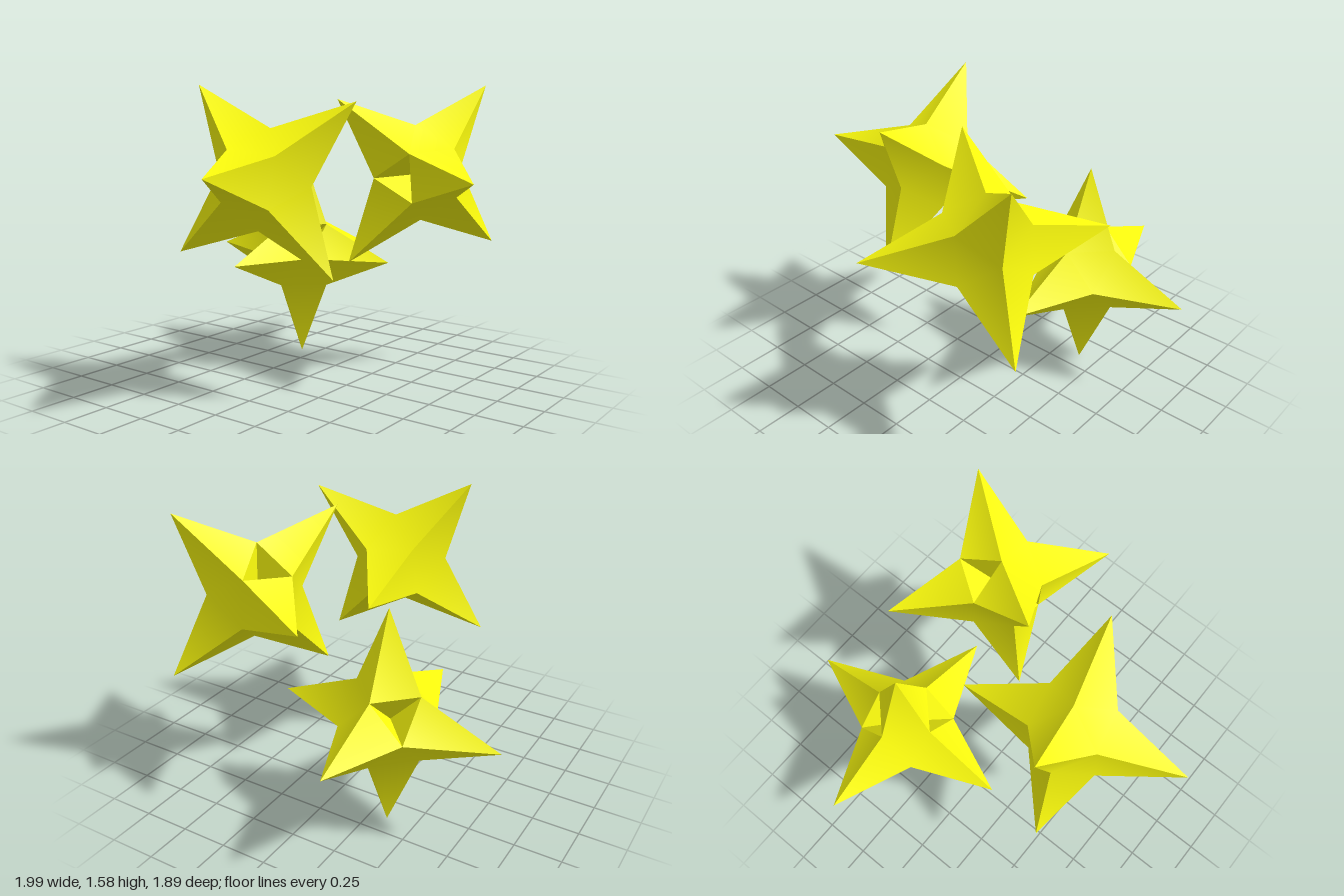
import * as THREE from 'three';
import { toCreasedNormals } from 'three/addons/utils/BufferGeometryUtils.js';

const LENGTH = 0.604; // centre to spike tip
const WAIST = 0.18;   // offset of the notch points between spikes
const DENT = 0.03;    // depth of the sunken corners

// Six four-sided spikes on a faceted core; dents lists the sunken corners as sign triples
function starGeometry(dents) {
  const points = [];
  // Adds a triangle, turned so that it faces along the outward direction
  const addFace = (a, b, c, out) => {
    const n = b.clone().sub(a).cross(c.clone().sub(a));
    const order = n.dot(out) > 0 ? [a, b, c] : [a, c, b];
    order.forEach((p) => points.push(p.x, p.y, p.z));
  };
  for (const sx of [-1, 1]) for (const sy of [-1, 1]) for (const sz of [-1, 1]) {
    const signs = [sx, sy, sz];
    const out = new THREE.Vector3(sx, sy, sz);
    const tips = signs.map((s, i) => new THREE.Vector3().setComponent(i, s * LENGTH));
    // notch[i] lies between the two spikes other than i
    const notch = signs.map((s, i) => out.clone().multiplyScalar(WAIST).setComponent(i, 0));
    // one side of each of the three spikes
    for (let i = 0; i < 3; i++) addFace(tips[i], notch[(i + 1) % 3], notch[(i + 2) % 3], out);
    // core corner between the spikes
    if (dents.some((d) => d.every((v, i) => v === signs[i]))) {
      const pit = out.clone().multiplyScalar(DENT);
      for (let i = 0; i < 3; i++) addFace(pit, notch[i], notch[(i + 1) % 3], out);
    } else addFace(...notch, out);
  }
  const geometry = new THREE.BufferGeometry();
  geometry.setAttribute('position', new THREE.Float32BufferAttribute(points, 3));
  return toCreasedNormals(geometry, 0.6);
}

export function createModel() {
  const group = new THREE.Group();
  const material = new THREE.MeshStandardMaterial({ color: 0xffff0d, side: THREE.DoubleSide });
  const dented = starGeometry([[1, 1, -1], [-1, 1, 1]]);
  const plain = starGeometry([]);

  // Places a star by its centre and the directions of its x and y spikes
  const addStar = (name, geometry, centre, xDir, yDir) => {
    const x = new THREE.Vector3(...xDir).normalize();
    const z = x.clone().cross(new THREE.Vector3(...yDir)).normalize();
    const y = z.clone().cross(x);
    const star = new THREE.Mesh(geometry, material);
    star.name = name;
    star.position.set(...centre);
    star.quaternion.setFromRotationMatrix(new THREE.Matrix4().makeBasis(x, y, z));
    group.add(star);
  };
  addStar('lowerStar', dented, [0.39, 0.607, -0.346], [1, 0, 0], [0, 1, 0]);
  addStar('frontStar', dented, [0.373, 1.118, 0.446], [0.32, 0.462, 0.225], [-0.38, 0.39, -0.255]);
  addStar('rightStar', plain, [-0.415, 1.116, 0.038], [0.585, -0.055, -0.14], [-0.055, 0.4625, -0.38]);
  return group;
}
